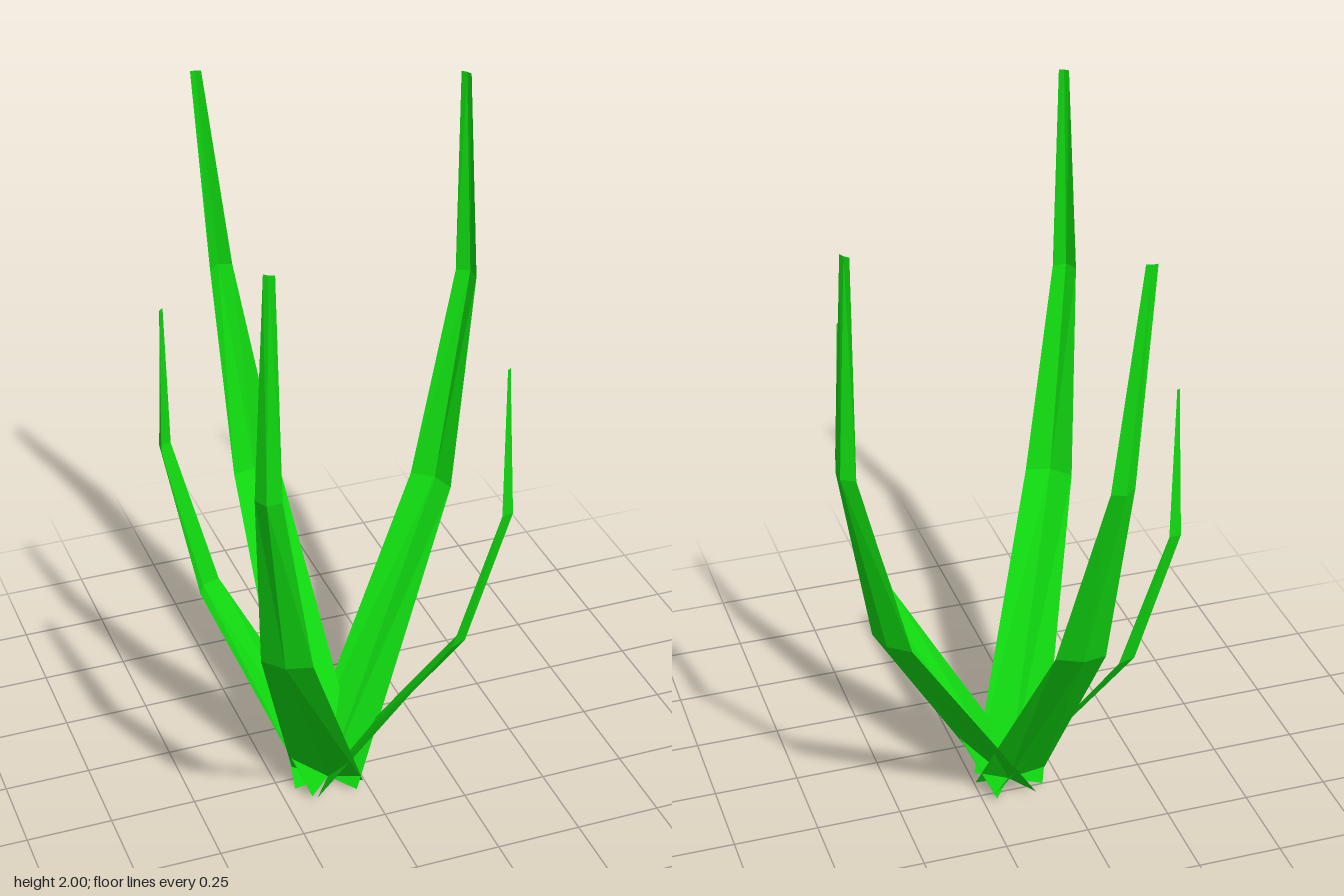
import * as THREE from 'three';

// All blades grow from one point.
const ROOT = { x: -0.1, y: 0.013, z: 0.04 };
const BASE_HALF_WIDTH = 0.105;
const FOLD = [0, 0.022, 0.022, 0.003]; // crease depth at base, lower bend, upper bend, tip

// Heights of the lower bend, upper bend and tip.
const TALL = [0.78, 1.385, 2];
const SHORT = [0.58, 1.02, 1.46];

// Rings hold the two edge points: [x1, z1, x2, z2] for each bend and the tip.
const BLADES = [
  { name: 'frontRightBlade', heights: TALL, tilt: 0,
    rings: [[-0.31, 0.52, -0.43, 0.445], [-0.43, 0.645, -0.49, 0.61], [-0.435, 0.635, -0.46, 0.62]] },
  { name: 'backBlade', heights: TALL, tilt: 0.013,
    rings: [[-0.2, -0.48, -0.065, -0.455], [-0.21, -0.622, -0.138, -0.638], [-0.25, -0.617, -0.22, -0.612]] },
  { name: 'backLeftBlade', heights: TALL, tilt: 0,
    rings: [[0.29, -0.305, 0.37, -0.19], [0.45, -0.378, 0.488, -0.315], [0.446, -0.36, 0.464, -0.332]] },
  { name: 'frontLeftShortBlade', heights: SHORT, tilt: 0,
    rings: [[0.237, 0.23, 0.175, 0.302], [0.32, 0.322, 0.288, 0.36], [0.311, 0.33, 0.296, 0.345]] },
  { name: 'backRightShortBlade', heights: SHORT, tilt: 0,
    rings: [[-0.4, -0.195, -0.325, -0.258], [-0.47, -0.292, -0.432, -0.327], [-0.46, -0.287, -0.445, -0.304]] },
];

// A thin leaf folded along its middle, lofted through four cross-sections.
function bladeGeometry({ heights, rings, tilt }) {
  const first = rings[0];
  const dir = new THREE.Vector3((first[0] + first[2]) / 2 - ROOT.x, 0, (first[1] + first[3]) / 2 - ROOT.z).normalize();
  const side = new THREE.Vector3(-dir.z, 0, dir.x).multiplyScalar(BASE_HALF_WIDTH);
  // Keep the base edge running the same way as the first ring.
  if (side.x * (first[2] - first[0]) + side.z * (first[3] - first[1]) < 0) side.negate();

  const root = new THREE.Vector3(ROOT.x, ROOT.y, ROOT.z);
  side.y = tilt;
  const sections = [[root.clone().sub(side), root, root.clone().add(side)]];
  rings.forEach(([x1, z1, x2, z2], i) => {
    const a = new THREE.Vector3(x1, heights[i], z1);
    const b = new THREE.Vector3(x2, heights[i], z2);
    const crease = a.clone().lerp(b, 0.5).addScaledVector(dir, FOLD[i + 1]);
    sections.push([a, crease, b]);
  });

  const points = [];
  for (let i = 0; i < 3; i++) {
    for (let j = 0; j < 2; j++) {
      const a = sections[i][j], b = sections[i][j + 1];
      const c = sections[i + 1][j + 1], d = sections[i + 1][j];
      points.push(a, b, c, a, c, d);
    }
  }
  const geometry = new THREE.BufferGeometry().setFromPoints(points);
  geometry.computeVertexNormals();
  return geometry;
}

export function createModel() {
  const group = new THREE.Group();
  group.name = 'grassTuft';
  const leafGreen = new THREE.MeshStandardMaterial({ color: 0x10d810, side: THREE.DoubleSide, flatShading: true });
  leafGreen.name = 'leafGreen';
  for (const blade of BLADES) {
    const mesh = new THREE.Mesh(bladeGeometry(blade), leafGreen);
    mesh.name = blade.name;
    group.add(mesh);
  }
  return group;
}
